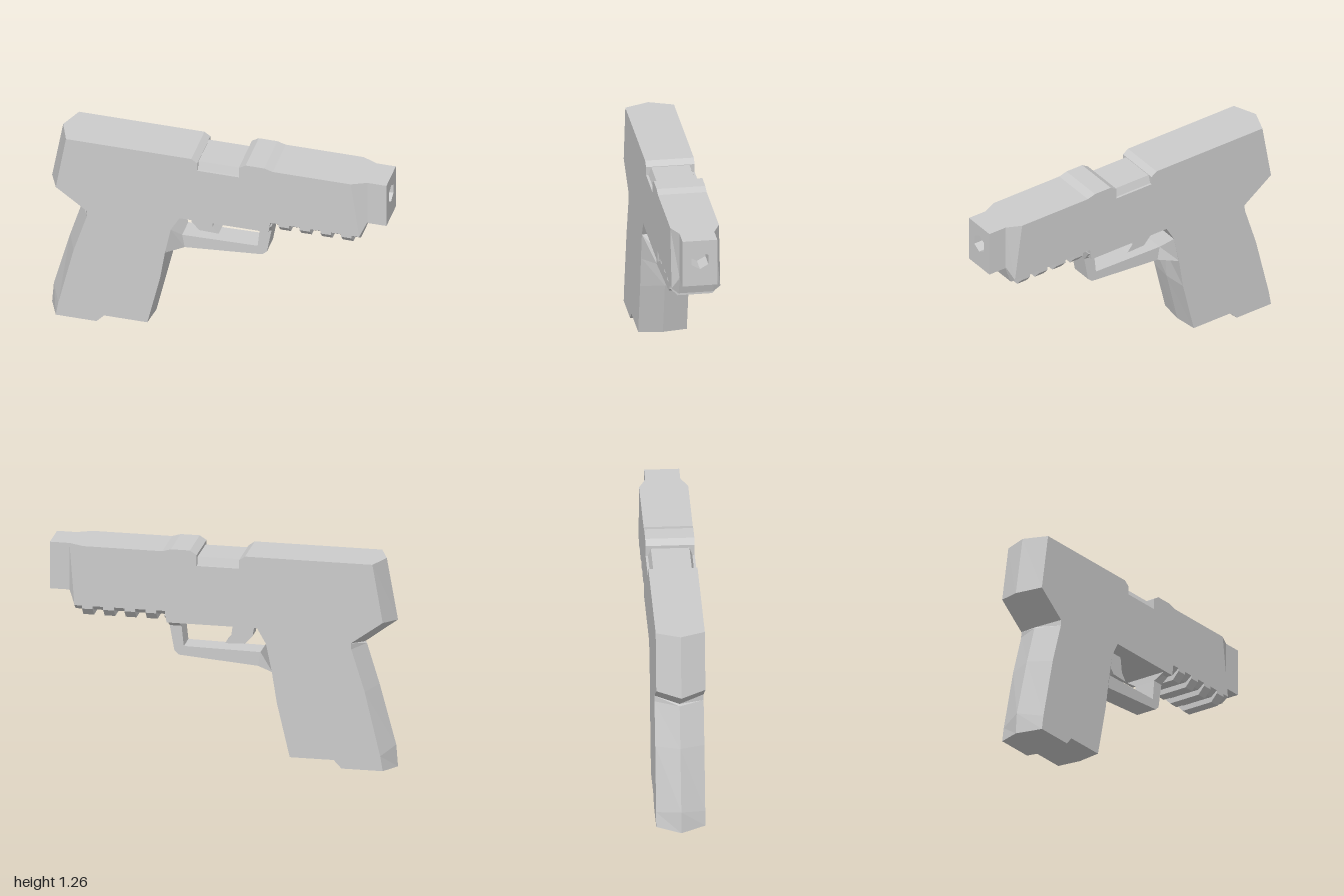
import * as THREE from 'three';

const material = new THREE.MeshStandardMaterial({ color: 0xcccccc, flatShading: true });

// Closed solid through rings of equal point count; flat-z rings may be concave (counter-clockwise)
function solid(rings) {
  const pos = [];
  const tri = (a, b, c) => pos.push(...a, ...b, ...c);
  const n = rings[0].length;
  for (let r = 0; r < rings.length - 1; r++) {
    const a = rings[r], b = rings[r + 1];
    for (let i = 0; i < n; i++) {
      const j = (i + 1) % n;
      tri(a[i], a[j], b[j]);
      tri(a[i], b[j], b[i]);
    }
  }
  const cap = (ring, flip) => {
    let faces = [];
    if (ring.every(p => p[2] === ring[0][2])) {
      faces = THREE.ShapeUtils.triangulateShape(ring.map(p => new THREE.Vector2(p[0], p[1])), []);
    } else {
      for (let i = 1; i < n - 1; i++) faces.push([0, i, i + 1]);
    }
    for (const [a, b, c] of faces) flip ? tri(ring[a], ring[c], ring[b]) : tri(ring[a], ring[b], ring[c]);
  };
  cap(rings[0], true);
  cap(rings[rings.length - 1], false);

  // Turn the faces outward if the enclosed volume is negative
  let volume = 0;
  const [a, b, c] = [0, 1, 2].map(() => new THREE.Vector3());
  for (let i = 0; i < pos.length; i += 9) {
    volume += a.fromArray(pos, i).dot(b.fromArray(pos, i + 3).cross(c.fromArray(pos, i + 6)));
  }
  if (volume < 0) {
    for (let i = 0; i < pos.length; i += 9) {
      for (let k = 0; k < 3; k++) [pos[i + 3 + k], pos[i + 6 + k]] = [pos[i + 6 + k], pos[i + 3 + k]];
    }
  }
  const geometry = new THREE.BufferGeometry();
  geometry.setAttribute('position', new THREE.Float32BufferAttribute(pos, 3));
  geometry.computeVertexNormals();
  return geometry;
}

// Mirrored ring: [x, y, z] points down the left side, then back up the right side
const mirrorRing = half => [...half, ...[...half].reverse().map(([x, y, z]) => [x, y, -z])];

export function createModel() {
  const model = new THREE.Group();
  model.name = 'sidearm';
  const add = (name, geometry, parent = model) => {
    const mesh = new THREE.Mesh(geometry, material);
    mesh.name = name;
    parent.add(mesh);
    return mesh;
  };

  // Frame, slide and grip: side outline [x, y], with an optional shifted centre line [x, y]
  const outline = [
    [-0.94, 0.012, -1, 0], [-0.7, 0.012, -0.695, 0], [-0.655, 0.06], [-0.4, 0.06, -0.385, 0.057],
    [-0.325, 0.38, -0.31, 0.38], [-0.295, 0.57], [-0.262, 0.73], [-0.21, 0.82],
    [0.315, 0.82], [0.325, 0.89], [0.85, 0.89], [0.8, 1.245],
    [0.34, 1.245], [0.29, 1.26], [0.18, 1.26], [0.14, 1.235], [0.14, 1.17],
    [-0.105, 1.17], [-0.105, 1.22], [-0.14, 1.245],
    [-0.88, 1.245, -0.935, 1.245], [-0.94, 0.9, -1, 0.88], [-0.755, 0.766, -0.81, 0.738],
    [-0.757, 0.73, -0.82, 0.728], [-0.835, 0.48, -0.893, 0.49], [-0.925, 0.1, -0.99, 0.13],
  ];
  const side = z => outline.map(([x, y]) => [x, y, z]);
  const centre = outline.map(([x, y, mx = x, my = y]) => [mx, my, 0]);
  add('body', solid([side(-0.14), centre, side(0.14)]));

  // Recessed cover in the top opening
  const portRing = x => mirrorRing([[x, 1.217, 0.11], [x, 1.165, 0.128]]);
  add('portCover', solid([portRing(-0.11), portRing(0.145)]));

  // Tapered nose
  add('nose', solid([
    mirrorRing([[0.8, 1.245, 0.14], [0.85, 0.89, 0.14], [0.85, 0.857, 0.1]]),
    mirrorRing([[0.887, 1.245, 0.1], [0.887, 0.972, 0.1], [0.887, 0.966, 0.098]]),
  ]));

  // Front block with a hexagonal bore
  const face = new THREE.Shape();
  face.moveTo(-0.1, 0.966).lineTo(0.1, 0.966).lineTo(0.1, 1.245).lineTo(-0.1, 1.245).closePath();
  const bore = new THREE.Path();
  for (let i = 0; i < 6; i++) {
    const t = Math.PI / 2 - i * Math.PI / 3;
    const x = 0.056 * Math.cos(t), y = 1.125 + 0.056 * Math.sin(t);
    i ? bore.lineTo(x, y) : bore.moveTo(x, y);
  }
  bore.closePath();
  face.holes.push(bore);
  const block = new THREE.ExtrudeGeometry(face, { depth: 0.113, bevelEnabled: false });
  add('muzzleBlock', block.rotateY(Math.PI / 2).translate(0.887, 0, 0));

  // Underside rail: chamfered base with evenly spaced teeth
  const rail = new THREE.Group();
  rail.name = 'rail';
  model.add(rail);
  const railPart = (name, x0, x1, edge, bottom) => {
    const ring = x => mirrorRing([[x, 0.895, 0.14], [x, edge, 0.14], [x, bottom, 0.1]]);
    add(name, solid([ring(x0), ring(x1)]), rail);
  };
  railPart('railBase', 0.325, 0.85, 0.888, 0.857);
  for (let i = 0; i < 4; i++) railPart('railTooth', 0.375 + i * 0.123, 0.437 + i * 0.123, 0.87, 0.825);

  // Trigger guard: inner point, outer point and half width along the loop
  const guard = [
    [-0.262, 0.73, -0.3, 0.562, 0.14],
    [-0.215, 0.653, -0.2, 0.57, 0.065],
    [0.23, 0.66, 0.257, 0.606, 0.065],
    [0.232, 0.675, 0.285, 0.63, 0.065],
    [0.243, 0.78, 0.312, 0.78, 0.065],
    [0.247, 0.825, 0.33, 0.86, 0.135],
  ];
  add('triggerGuard', solid(guard.map(([ix, iy, ox, oy, w]) => mirrorRing([[ix, iy, w], [ox, oy, w]]))));

  // Curved trigger
  const lever = [[-0.18, 0.83], [-0.165, 0.74], [-0.12, 0.69], [-0.005, 0.686], [-0.04, 0.73], [-0.055, 0.83]];
  add('trigger', solid([-0.045, 0.045].map(z => lever.map(([x, y]) => [x, y, z]))));

  return model;
}
